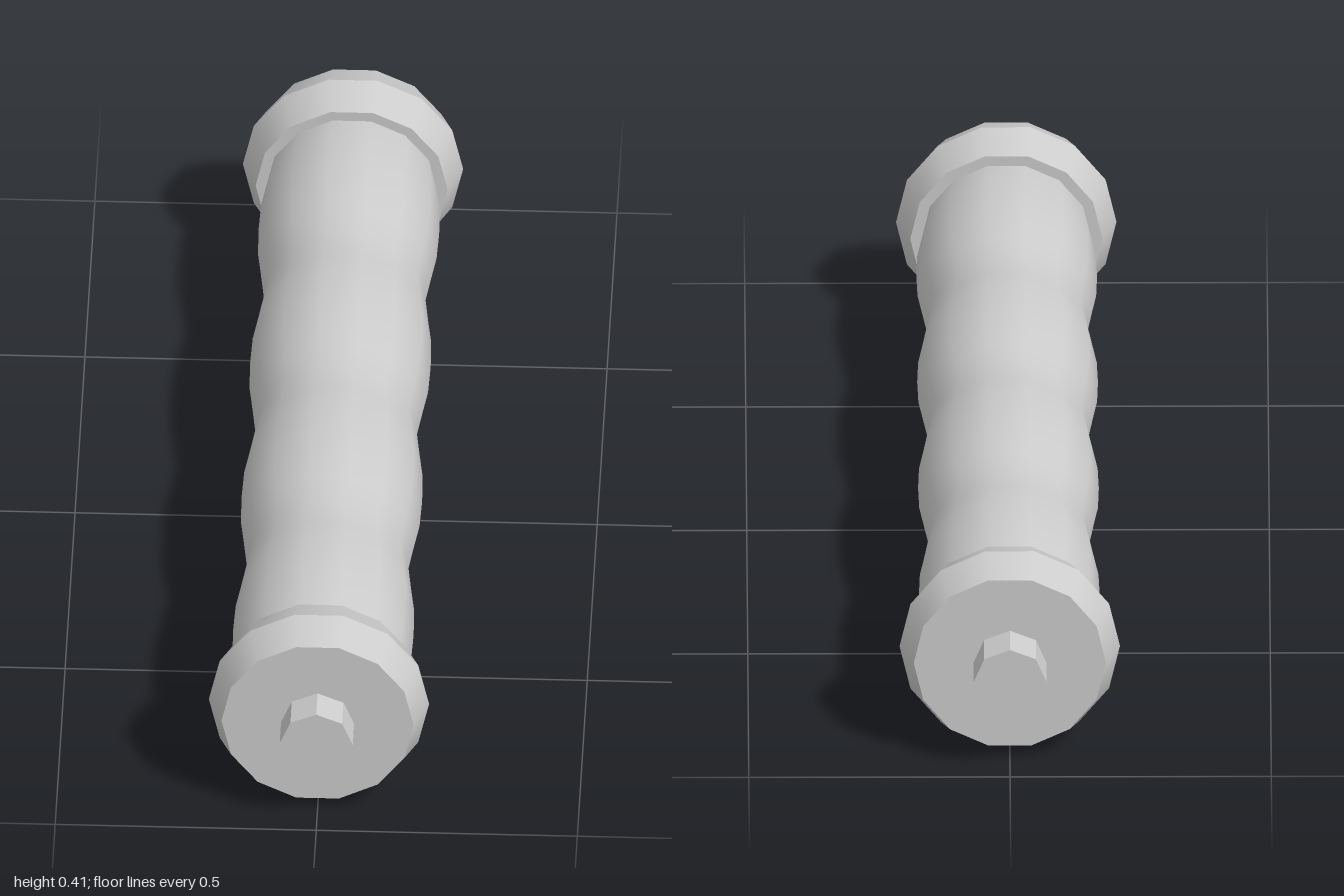
import * as THREE from 'three';

const SIDES = 14;
const AXIS_Y = 0.206;

export function createModel() {
  const group = new THREE.Group();
  const metal = new THREE.MeshStandardMaterial({ color: 0xcccccc });
  metal.name = 'lightGrey';
  const boltMetal = metal.clone();
  boltMetal.name = 'lightGreyFaceted';
  boltMetal.flatShading = true;

  // Adds a geometry made along +y, turned to lie along +z
  const add = (name, geometry, z, material = metal, parent = group) => {
    geometry.rotateX(Math.PI / 2);
    const mesh = new THREE.Mesh(geometry, material);
    mesh.name = name;
    mesh.position.set(0, AXIS_Y, z);
    parent.add(mesh);
    return mesh;
  };

  // Grip: four swells with a sharp pinch between neighbours
  const swell = [[0, 0.155], [0.07, 0.163], [0.135, 0.171], [0.215, 0.173], [0.295, 0.171], [0.36, 0.163]];
  const profile = [];
  for (let i = 0; i < 4; i++) {
    for (const [z, r] of swell) {
      const p = -0.86 + i * 0.43 + z;
      profile.push(new THREE.Vector2(r, p));
    }
  }
  profile.push(new THREE.Vector2(0.155, 0.86));
  add('grip', new THREE.LatheGeometry(profile, SIDES, Math.PI / 2), 0);

  // Bevelled collars: two frustums meeting at a ridge, and a bolt end outside
  const collar = (name, zBack, zFront, dir) => {
    const part = new THREE.Group();
    part.name = name;
    const half = (zFront - zBack) / 2;
    const frustum = (rFront, rBack) =>
      new THREE.CylinderGeometry(rFront, rBack, half, SIDES, 1, false, Math.PI / 2);
    add(name + 'FrontBevel', frustum(0.184, 0.211), zFront - half / 2, metal, part);
    add(name + 'BackBevel', frustum(0.211, 0.184), zBack + half / 2, metal, part);
    const inner = dir > 0 ? zFront - 0.02 : zBack + 0.02;
    const length = Math.abs(dir - inner);
    add(name + 'Bolt', new THREE.CylinderGeometry(0.07, 0.07, length, 8), (dir + inner) / 2, boltMetal, part);
    group.add(part);
  };
  collar('frontCollar', 0.795, 0.932, 1);
  collar('backCollar', -0.922, -0.785, -1);

  return group;
}
